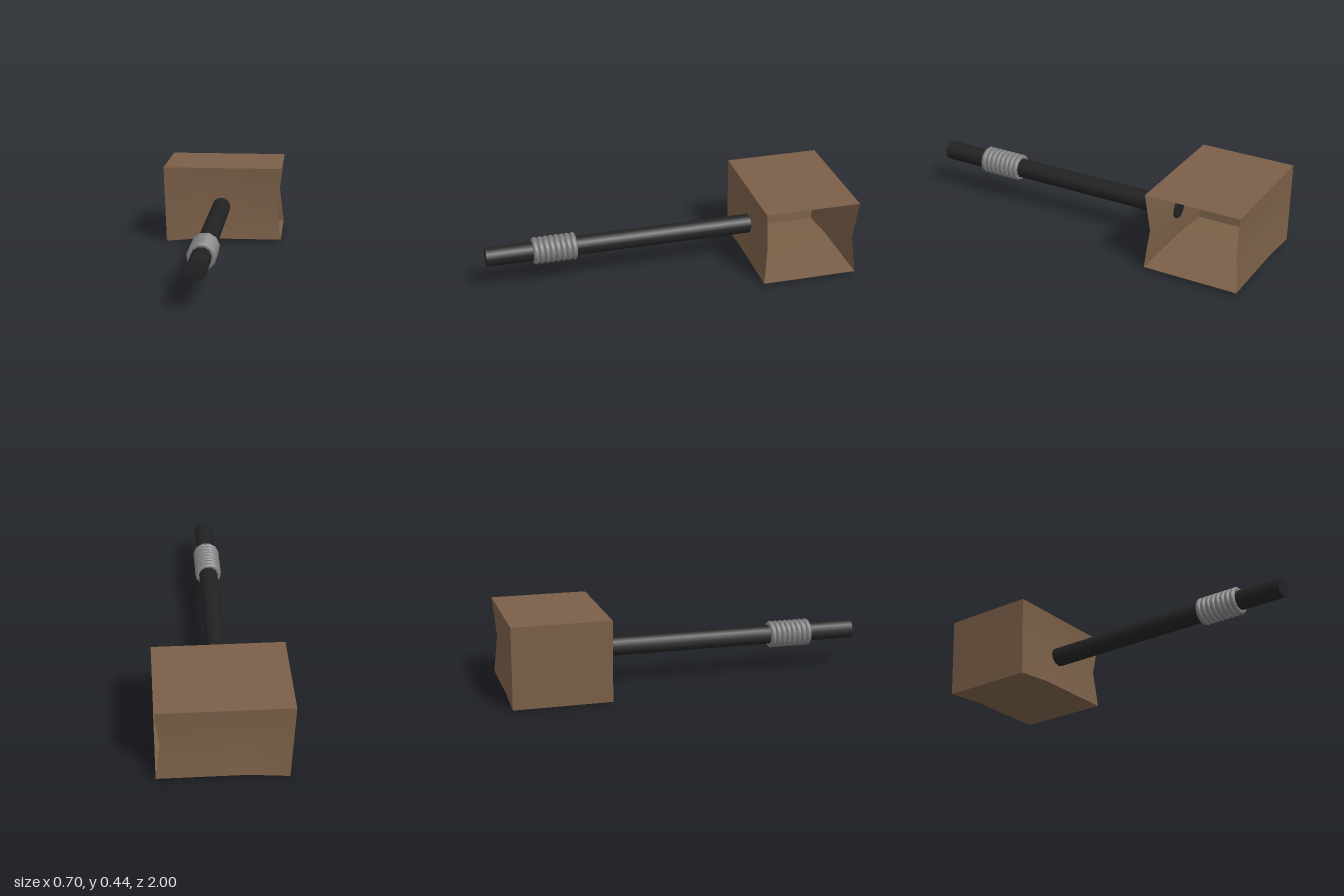
import * as THREE from 'three';
import { toCreasedNormals } from 'three/addons/utils/BufferGeometryUtils.js';

const material = (name, color, side = THREE.FrontSide) => {
  const m = new THREE.MeshStandardMaterial({ color, side });
  m.name = name;
  return m;
};

// Hollow head shell: dented front and back walls, open at the +x end
function headGeometry() {
  const front = -0.47, back = -1, inset = 0.02;
  // Wall outline in x, y and dent depth
  const wall = [
    [-0.35, 0.445, 0],     // 0 top, closed end
    [0.346, 0.445, 0],     // 1 top, open end
    [0.32, 0.23, inset],   // 2 valley, open end
    [0.346, 0.02, 0],      // 3 bottom, open end
    [-0.12, 0.02, 0],      // 4 bottom bend
    [-0.333, 0, 0],        // 5 bottom, closed end
    [-0.12, 0.23, inset],  // 6 valley, inner end
  ];
  const n = wall.length;
  const positions = [
    ...wall.flatMap(([x, y, d]) => [x, y, front - d]),
    ...wall.flatMap(([x, y, d]) => [x, y, back + d]),
  ];
  const index = [];
  // Front wall triangles, mirrored to the back wall
  for (const [a, b, c] of [[0, 5, 6], [5, 4, 6], [4, 3, 2], [4, 2, 6], [0, 6, 2], [0, 2, 1]]) {
    index.push(a, b, c, a + n, c + n, b + n);
  }
  // Strips joining front and back: top, bottom, sloped bottom, closed end
  for (const [a, b] of [[0, 1], [3, 4], [4, 5], [5, 0]]) {
    index.push(a, b, b + n, a, b + n, a + n);
  }
  const geometry = new THREE.BufferGeometry();
  geometry.setAttribute('position', new THREE.Float32BufferAttribute(positions, 3));
  geometry.setIndex(index);
  return toCreasedNormals(geometry, 0.6);
}

export function createModel() {
  const model = new THREE.Group();
  model.name = 'mallet';
  const wood = material('brown wood', 0x7b6048, THREE.DoubleSide);
  const grip = material('black handle', 0x222222);
  const metal = material('grey rings', 0x808080);

  const add = (parent, name, geometry, mat) => {
    const mesh = new THREE.Mesh(geometry, mat);
    mesh.name = name;
    parent.add(mesh);
    return mesh;
  };

  add(model, 'head', headGeometry(), wood);

  // Handle and grip rings share one axis along z, with a flat on top
  const shaft = new THREE.Group();
  shaft.name = 'shaft';
  shaft.position.set(-0.009, 0.211, 0);
  model.add(shaft);

  const sides = 11;
  const handle = new THREE.CylinderGeometry(0.054, 0.054, 1.5, sides);
  handle.rotateX(Math.PI / 2).translate(0, 0, 0.25);
  add(shaft, 'handle', handle, grip);

  const ring = new THREE.TorusGeometry(0.061, 0.016, 8, sides).rotateZ(-Math.PI / 2);
  for (let i = 0; i < 8; i++) {
    add(shaft, 'gripRing', ring, metal).position.z = 0.52 + i * 0.03;
  }
  return model;
}
